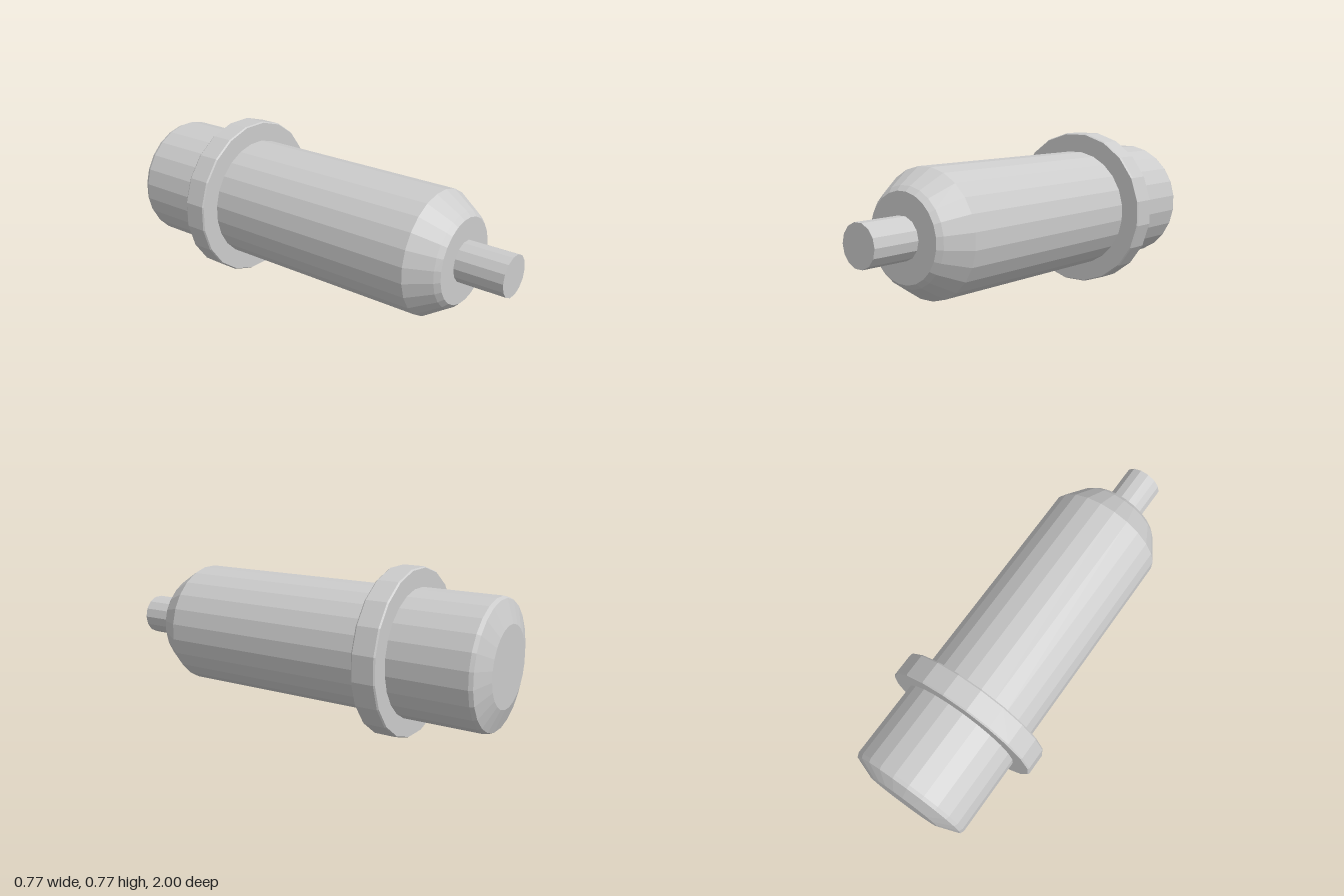
import * as THREE from 'three';

const AXIS_HEIGHT = 0.385;

// Faceted solid of revolution along z; profile holds [radius, z] from back to front
function turned(name, sides, profile) {
  const points = profile.map(([r, z]) => new THREE.Vector2(r, z));
  const geometry = new THREE.LatheGeometry(points, sides, Math.PI / sides);
  geometry.rotateX(Math.PI / 2);
  const material = new THREE.MeshStandardMaterial({ color: 0xcccccc, flatShading: true });
  const mesh = new THREE.Mesh(geometry, material);
  mesh.name = name;
  mesh.position.y = AXIS_HEIGHT;
  return mesh;
}

export function createModel() {
  const model = new THREE.Group();
  model.name = 'plungerPin';

  // Rear cap with a shallow chamfer
  model.add(turned('rearCap', 24, [
    [0, -1], [0.185, -1], [0.29, -0.963], [0.298, -0.945], [0.298, -0.56], [0, -0.56],
  ]));

  // Collar with slightly eased edges
  model.add(turned('collar', 20, [
    [0, -0.567], [0.384, -0.567], [0.389, -0.56], [0.389, -0.457], [0.384, -0.45], [0, -0.45],
  ]));

  // Long barrel with a tapered nose
  model.add(turned('barrel', 24, [
    [0, -0.46], [0.293, -0.46], [0.293, 0.63], [0.222, 0.743], [0.2, 0.765], [0, 0.765],
  ]));

  // Thin tip
  model.add(turned('tip', 14, [
    [0, 0.75], [0.097, 0.75], [0.097, 1], [0, 1],
  ]));

  return model;
}
